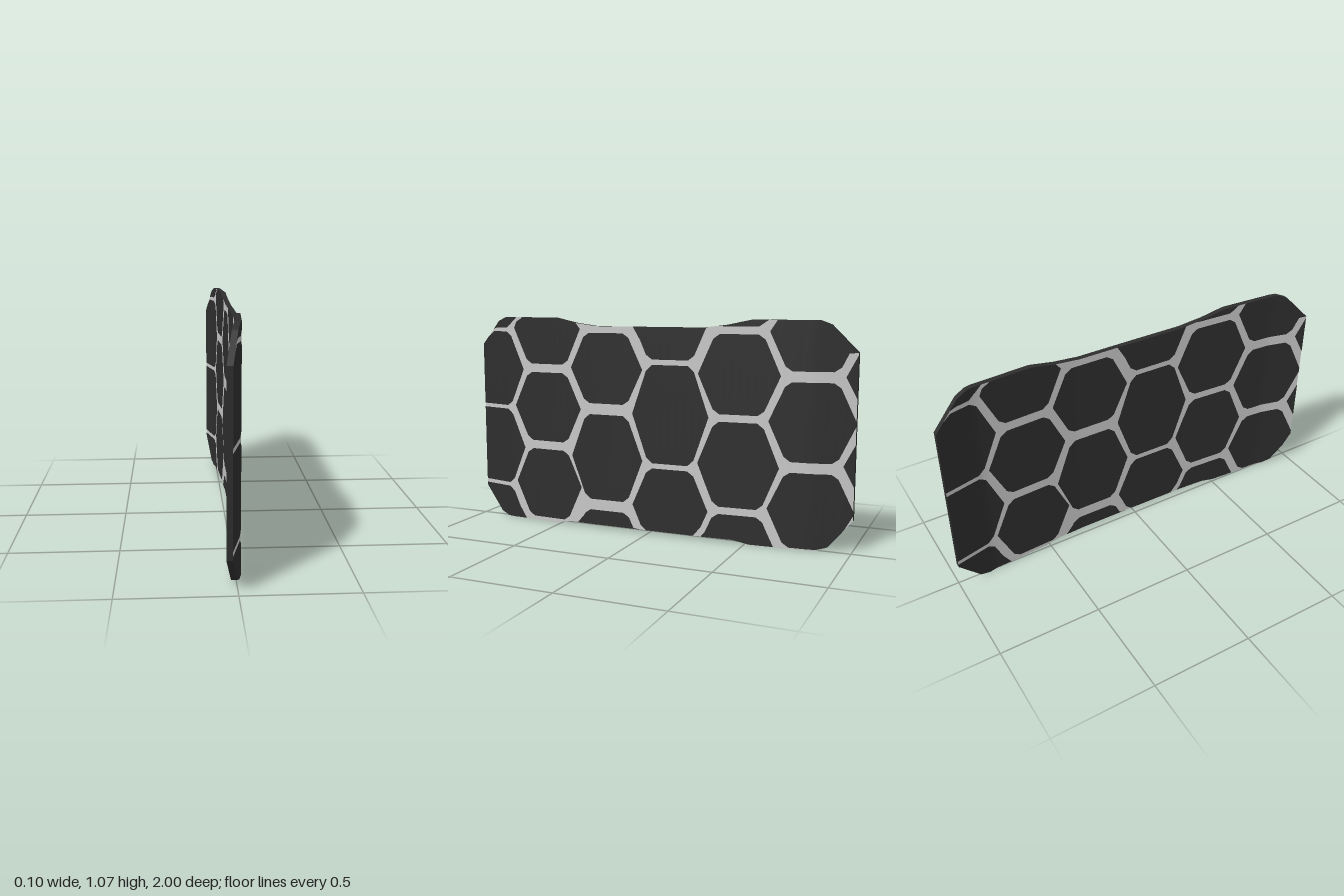
import * as THREE from 'three';

const dark = new THREE.MeshStandardMaterial({ color: 0x2e2e2e });
dark.name = 'charcoal';
const grey = new THREE.MeshStandardMaterial({ color: 0xc8c8c8 });
grey.name = 'light grey';

const HALF = 0.011; // half thickness of the panel
const LIFT = 0.002; // height of the painted cells above the panel

// Piecewise linear lookup through points sorted by their first value
function lookup(points, t) {
  if (t <= points[0][0]) return points[0][1];
  for (let i = 1; i < points.length; i++) {
    const [t0, v0] = points[i - 1], [t1, v1] = points[i];
    if (t <= t1) return v0 + (v1 - v0) * (t - t0) / (t1 - t0);
  }
  return points[points.length - 1][1];
}

// Bowed section and outline of the panel, symmetric in z
const BOW = [[0, 0.037], [0.3, 0.036], [0.55, 0.024], [0.8, 0.01], [1, -0.037]];
const TOP = [[0, 1.03], [0.28, 1.03], [0.4, 1.045], [0.52, 1.07], [0.83, 1.07], [0.88, 1.05], [1, 0.925]];
const BOTTOM = [[0, 0.015], [0.44, 0.015], [0.52, 0], [0.84, 0], [0.89, 0.02], [1, 0.15]];
const bow = z => lookup(BOW, Math.abs(z));
const high = z => lookup(TOP, Math.abs(z));
const low = z => lookup(BOTTOM, Math.abs(z));

// z stations between two ends, including every bend and any extra corners
function stations(z0, z1, extra = []) {
  const zs = [z0, z1, ...extra];
  for (const [t] of [...BOW, ...TOP, ...BOTTOM]) zs.push(t, -t);
  for (let t = -1; t <= 1; t += 0.04) zs.push(t);
  return zs.filter(z => z >= z0 && z <= z1).sort((p, q) => p - q)
    .filter((z, i, all) => i === 0 || z - all[i - 1] > 1e-5);
}

// Ribbon between two edges a(z) and b(z), each giving [x, y]
function ribbon(name, material, zs, a, b) {
  const position = [], index = [];
  zs.forEach((z, i) => {
    position.push(...a(z), z, ...b(z), z);
    const k = i * 2;
    if (i) index.push(k - 2, k - 1, k, k - 1, k + 1, k);
  });
  const geometry = new THREE.BufferGeometry();
  geometry.setAttribute('position', new THREE.Float32BufferAttribute(position, 3));
  geometry.setIndex(index);
  geometry.computeVertexNormals();
  const mesh = new THREE.Mesh(geometry, material);
  mesh.name = name;
  return mesh;
}

// Face on one side of the panel (side is 1 for +x, -1 for -x)
function face(name, material, zs, bottom, top, side, lift) {
  const x = z => bow(z) + side * (HALF + lift);
  const a = z => [x(z), bottom(z)], b = z => [x(z), top(z)];
  return side > 0 ? ribbon(name, material, zs, a, b) : ribbon(name, material, zs, b, a);
}

// Honeycomb: evenly spaced columns, each cut by grey bands at these heights
const FIRST = 0.92, PITCH = 0.345; // centre of the first column and column spacing
const TIP = 0.2, FLAT = 0.115;     // half widths of a cell at its tips and its flats
const ROW = 0.41;                  // spacing to the rows beyond the outline
const COLUMNS = [
  { gap: 0.01, bands: [0.175, 0.595, 1.005] },
  { gap: 0.022, bands: [0.407, 0.81] },
  { gap: 0.028, bands: [0.12, 0.615] },
  { gap: 0.013, bands: [0.347, 0.86] },
  { gap: 0.018, bands: [0.155, 0.605, 1.02] },
  { gap: 0.025, bands: [0.39, 0.812] },
  { gap: 0.035, bands: [0.2, 0.61, 1.02] },
];

// Half outline of a hexagon from tip to tip, its two corners softly cut
function hexEdge(centre, tipY, flatY) {
  const slope = 0.12, cut = 0.022;
  const corner = tipY + (flatY - tipY) * (1 - slope);
  const outer = FLAT + (TIP - FLAT) * slope;
  return [[-TIP, tipY], [-outer, corner], [cut - FLAT, flatY],
    [FLAT - cut, flatY], [outer, corner], [TIP, tipY]].map(([z, y]) => [centre + z, y]);
}

// One painted cell between two heights, trimmed to the panel outline
function cell(centre, y0, y1, side) {
  const upper = hexEdge(centre, (y0 + y1) / 2, y1);
  const lower = hexEdge(centre, (y0 + y1) / 2, y0);
  const zs = stations(Math.max(-1, centre - TIP), Math.min(1, centre + TIP), upper.map(p => p[0]));
  const floor = z => Math.min(Math.max(lookup(lower, z), low(z)), high(z));
  const ceiling = z => Math.max(Math.min(lookup(upper, z), high(z)), floor(z));
  return face('cell', dark, zs, floor, ceiling, side, LIFT);
}

// All cells of one side; the pattern runs the other way on the -x side
function honeycomb(name, side) {
  const group = new THREE.Group();
  group.name = name;
  COLUMNS.forEach(({ gap, bands }, i) => {
    const centre = side * (FIRST - PITCH * i);
    const rows = [bands[0] - ROW, ...bands, bands[bands.length - 1] + ROW];
    for (let k = 1; k < rows.length; k++) {
      group.add(cell(centre, rows[k - 1] + gap, rows[k] - gap, side));
    }
  });
  return group;
}

export function createModel() {
  const model = new THREE.Group();
  model.name = 'curvedPanel';
  const all = stations(-1, 1);

  // Grey faces with dark hexagonal cells on both sides
  for (const side of [1, -1]) {
    const label = side > 0 ? 'outer' : 'inner';
    model.add(face(label + 'Face', grey, all, low, high, side, 0));
    model.add(honeycomb(label + 'Cells', side));
  }

  // Dark rim along the top, the bottom and both ends
  const rim = (side, y) => z => [bow(z) + side * (HALF + LIFT), y(z)];
  model.add(ribbon('topRim', dark, all, rim(1, high), rim(-1, high)));
  model.add(ribbon('bottomRim', dark, all, rim(-1, low), rim(1, low)));
  for (const end of [1, -1]) {
    const cap = new THREE.Mesh(new THREE.PlaneGeometry(2 * (HALF + LIFT), high(1) - low(1)), dark);
    cap.name = 'endRim';
    cap.position.set(bow(1), (high(1) + low(1)) / 2, end);
    if (end < 0) cap.rotation.y = Math.PI;
    model.add(cap);
  }
  return model;
}
